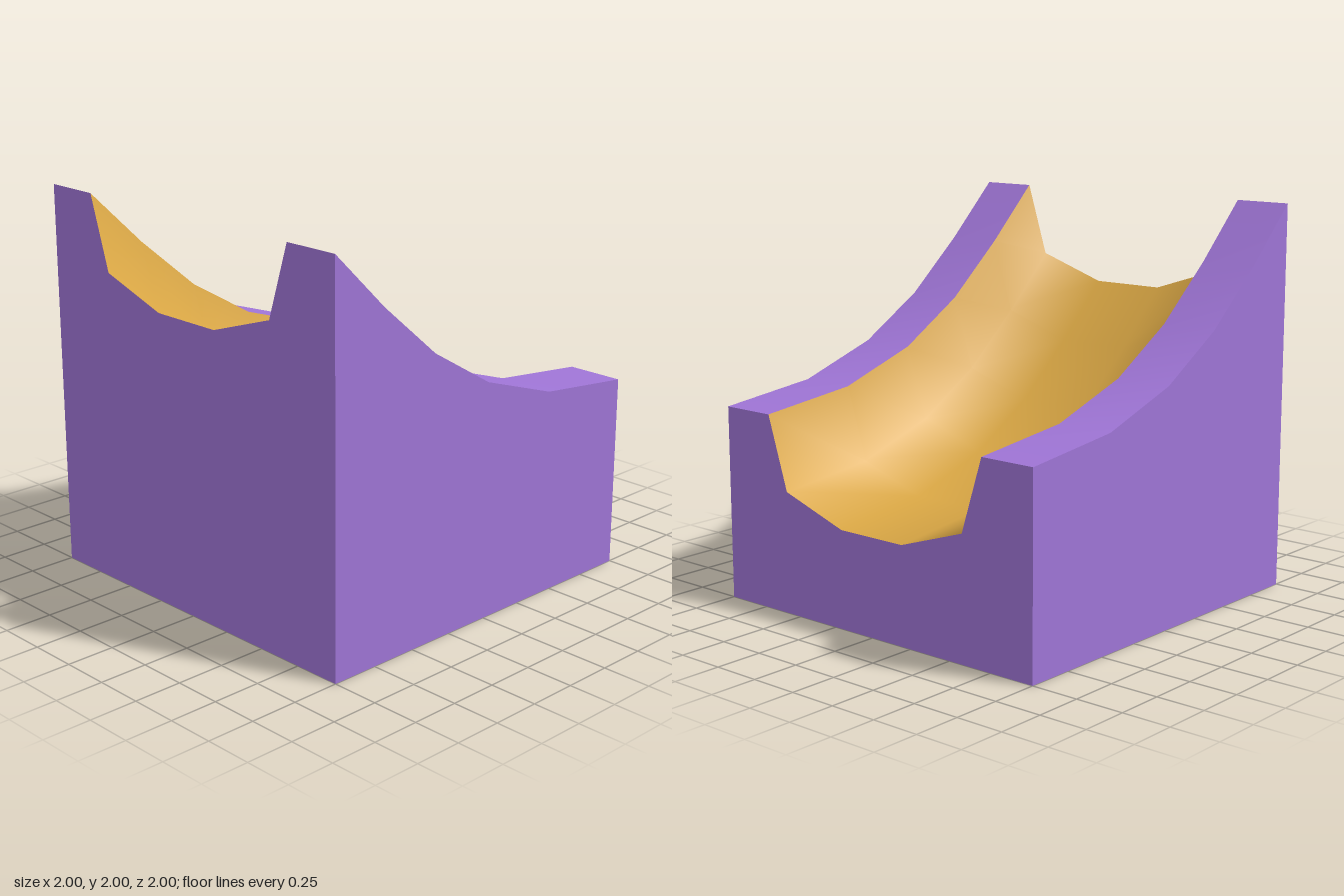
import * as THREE from 'three';

// Sweep of the ramp from high front to low back: [z, y]
const RAMP = [[1, 2], [0.7, 1.71], [0.37, 1.43], [0, 1.21], [-0.45, 1.06], [-1, 1]];
// Cross-section of the channel: [x, depth relative to the rails]
const CHANNEL = [[-0.7, 0], [-0.58, -0.375], [-0.2, -0.5], [0.2, -0.5], [0.58, -0.375], [0.7, 0]];
const SECTION = [[-1, 0], ...CHANNEL, [1, 0]];

// Surface through rows of points; faces along (column direction) x (row direction)
function loft(name, rows, material) {
  const n = rows[0].length, index = [];
  for (let i = 0; i < rows.length - 1; i++) {
    for (let j = 0; j < n - 1; j++) {
      const a = i * n + j, b = a + 1, c = a + n, d = c + 1;
      index.push(a, b, d, a, d, c);
    }
  }
  const geometry = new THREE.BufferGeometry();
  geometry.setAttribute('position', new THREE.Float32BufferAttribute(rows.flat(2), 3));
  geometry.setIndex(index);
  geometry.computeVertexNormals();
  const mesh = new THREE.Mesh(geometry, material);
  mesh.name = name;
  return mesh;
}

export function createModel() {
  const purple = new THREE.MeshStandardMaterial({ color: 0x9f75d6 });
  purple.name = 'purple block';
  const gold = new THREE.MeshStandardMaterial({ color: 0xdba845 });
  gold.name = 'gold channel';

  const group = new THREE.Group();
  group.name = 'curvedRampBlock';

  // Swept surfaces: the channel and the two rail tops
  const sweep = (profile) => RAMP.map(([z, y]) => profile.map(([x, d]) => [x, y + d, z]));
  group.add(
    loft('channel', sweep(CHANNEL), gold),
    loft('leftRail', sweep([[0.7, 0], [1, 0]]), purple),
    loft('rightRail', sweep([[-1, 0], [-0.7, 0]]), purple),
  );

  // Flat walls drop from an upper edge to the ground
  const wall = (name, top) =>
    group.add(loft(name, [top.map(([x, , z]) => [x, 0, z]), top], purple));
  wall('frontWall', SECTION.map(([x, d]) => [x, 2 + d, 1]));
  wall('backWall', SECTION.map(([x, d]) => [x, 1 + d, -1]).reverse());
  wall('leftWall', RAMP.map(([z, y]) => [1, y, z]));
  wall('rightWall', RAMP.map(([z, y]) => [-1, y, z]).reverse());

  // Underside
  group.add(loft('base', [[[-1, 0, -1], [1, 0, -1]], [[-1, 0, 1], [1, 0, 1]]], purple));
  return group;
}
